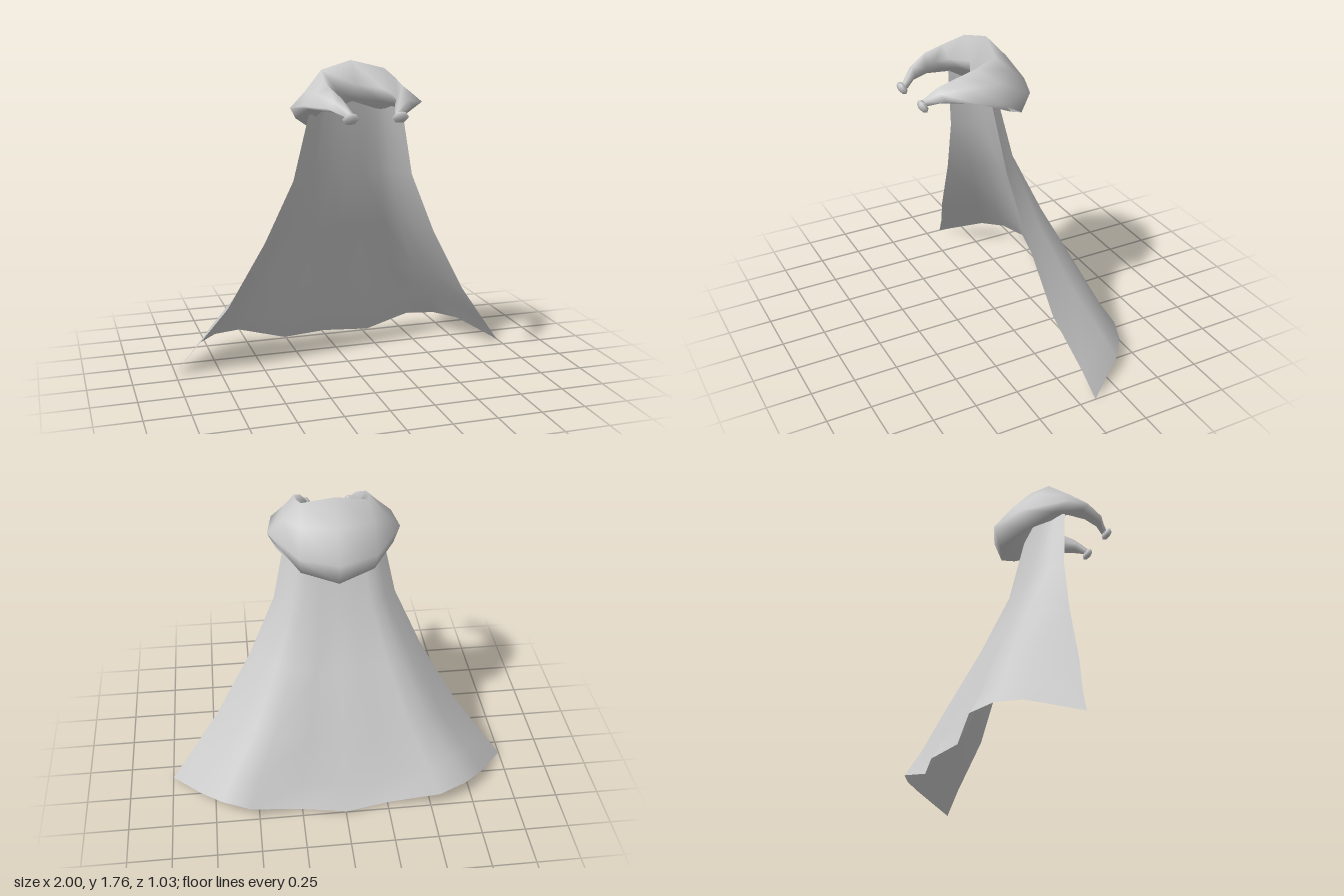
import * as THREE from 'three';

const material = new THREE.MeshStandardMaterial({ color: 0xcccccc, side: THREE.DoubleSide });

// Skin a grid of [x, y, z] rows; closed joins the last column to the first
function skin(name, rows, closed) {
  const n = rows[0].length, index = [];
  for (let r = 0; r < rows.length - 1; r++) {
    for (let c = 0; c < (closed ? n : n - 1); c++) {
      const a = r * n + c, b = r * n + (c + 1) % n;
      index.push(a, a + n, b, b, a + n, b + n);
    }
  }
  const g = new THREE.BufferGeometry();
  g.setAttribute('position', new THREE.Float32BufferAttribute(rows.flat(2), 3));
  g.setIndex(index);
  g.computeVertexNormals();
  const mesh = new THREE.Mesh(g, material);
  mesh.name = name;
  return mesh;
}

const flip = ([x, y, z]) => [-x, y, z];

// Cape: each row runs from the left front edge, round the back, to the right edge
function cape() {
  const across = [1, 0.83, 0.71, 0.55, 0.27, 0];
  const smooth = [0, 0.5, 0.76, 0.94, 0.98, 1];    // plain curve at the neck
  const folded = [0, 0.57, 0.81, 0.97, 0.88, 1];   // pleats at the hem
  const lift = [0, 0.08, 0.095, 0.085, 0.02, 0.02];
  // edge x, edge y, edge z, back z, amount of folding
  const levels = [
    [0.25, 1.6, 0.165, 0.08, 0],
    [0.26, 1.53, 0.155, 0.065, 0],
    [0.345, 1.13, 0.105, -0.02, 0.1],
    [0.5, 0.78, 0.06, -0.165, 0.3],
    [0.71, 0.4, 0.01, -0.335, 0.7],
    [0.9, 0.145, -0.065, -0.435, 1],
    [1, 0.01, -0.095, -0.515, 1],
  ];
  const rows = levels.map(([ex, ey, ez, bz, f]) => {
    const half = across.map((u, i) => [
      u * ex,
      ey + lift[i] * f,
      ez + (bz - ez) * THREE.MathUtils.lerp(smooth[i], folded[i], f),
    ]);
    return [...half, ...half.slice(0, -1).reverse().map(flip)];
  });
  return skin('cape', rows, false);
}

// Draped collar: cross-sections from the nape round to the front tip
// (inner lip, crest, ridge, outer fold, lower edge, underside)
function collar() {
  const half = [
    [[0, 1.65, 0.145], [0, 1.775, 0.05], [0, 1.645, -0.07], [0, 1.49, -0.185], [0, 1.36, -0.145], [0, 1.57, 0.09]],
    [[0.13, 1.63, 0.21], [0.18, 1.73, 0.09], [0.2, 1.64, 0], [0.21, 1.5, -0.105], [0.2, 1.39, -0.06], [0.16, 1.55, 0.13]],
    [[0.16, 1.61, 0.28], [0.2, 1.69, 0.21], [0.28, 1.62, 0.12], [0.365, 1.535, 0.13], [0.32, 1.47, 0.07], [0.22, 1.54, 0.2]],
    [[0.17, 1.58, 0.33], [0.2, 1.66, 0.32], [0.26, 1.62, 0.28], [0.335, 1.56, 0.27], [0.29, 1.54, 0.25], [0.2, 1.54, 0.31]],
    [[0.13, 1.57, 0.41], [0.16, 1.61, 0.41], [0.2, 1.59, 0.41], [0.24, 1.56, 0.4], [0.2, 1.54, 0.41], [0.15, 1.54, 0.41]],
    [[0.11, 1.52, 0.47], [0.12, 1.54, 0.48], [0.14, 1.54, 0.48], [0.155, 1.52, 0.47], [0.14, 1.51, 0.46], [0.12, 1.51, 0.46]],
  ];
  const other = half.slice(1).reverse().map(section => section.map(flip));
  return skin('collar', [...other, ...half], true);
}

// Small faceted knob that finishes each collar tip
function knob(side) {
  const g = new THREE.SphereGeometry(0.046, 6, 4);
  g.rotateX(Math.PI / 2).scale(1, 0.8, 0.5).rotateX(0.5);
  const mesh = new THREE.Mesh(g, material);
  mesh.position.set(side * 0.135, 1.512, 0.485);
  mesh.name = side > 0 ? 'leftCollarKnob' : 'rightCollarKnob';
  return mesh;
}

export function createModel() {
  const group = new THREE.Group();
  group.name = 'hoodedCape';
  group.add(cape(), collar(), knob(1), knob(-1));
  return group;
}
